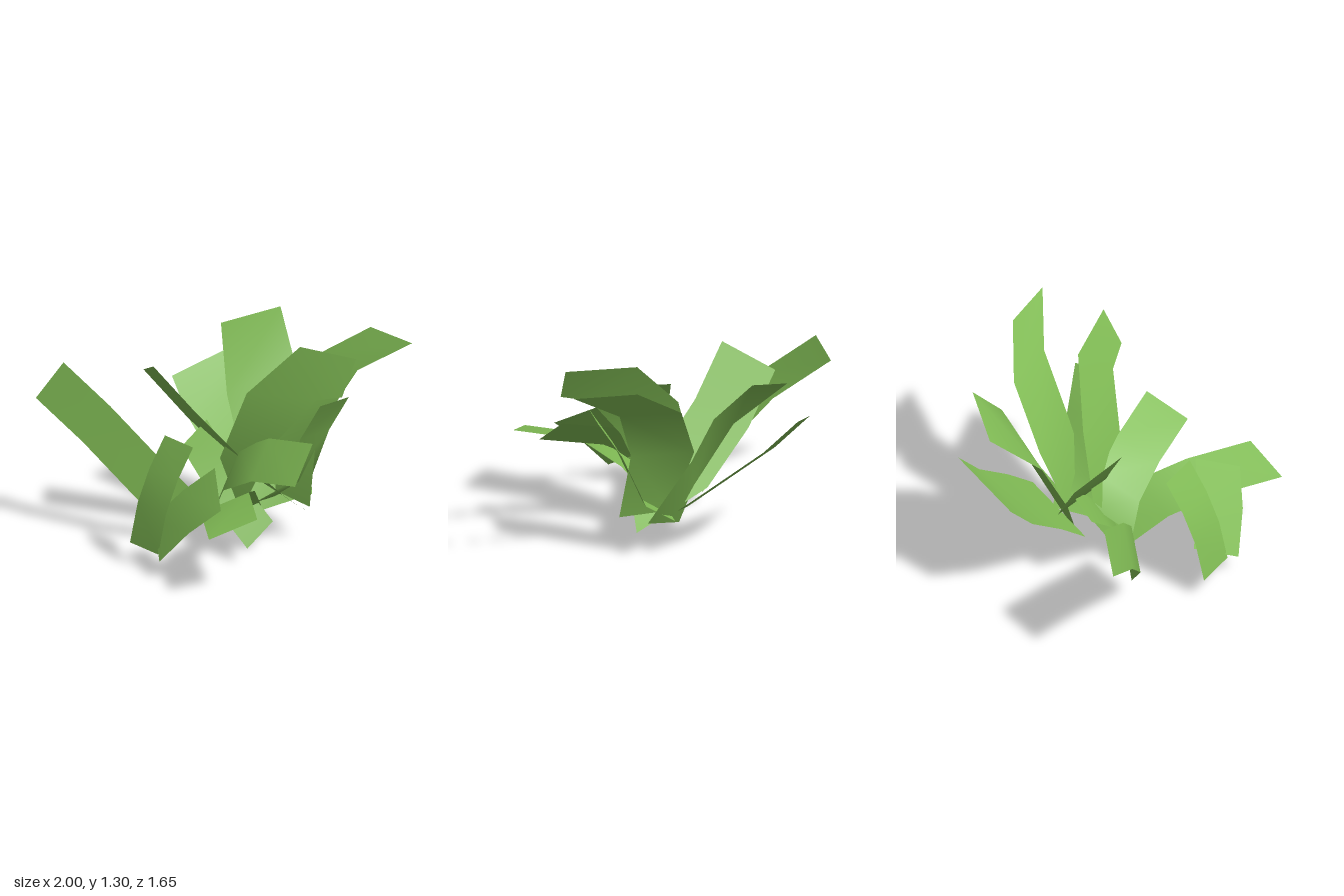
import * as THREE from 'three';

const leafGreen = new THREE.MeshStandardMaterial({ color: 0x81bc55, side: THREE.DoubleSide });
leafGreen.name = 'leaf green';

// Ribbon between two edges, each a short list of points from base to tip
function ribbon(name, edgeA, edgeB) {
  const pos = [], index = [];
  edgeA.forEach((a, i) => {
    pos.push(...a, ...edgeB[i]);
    if (i > 0) {
      const k = 2 * i - 2;
      index.push(k, k + 1, k + 3, k, k + 3, k + 2);
    }
  });
  const geo = new THREE.BufferGeometry();
  geo.setAttribute('position', new THREE.Float32BufferAttribute(pos, 3));
  geo.setIndex(index);
  geo.computeVertexNormals();
  const mesh = new THREE.Mesh(geo, leafGreen);
  mesh.name = name;
  return mesh;
}

// Leaf of constant width: one edge swept along a fixed width vector
function leaf(name, width, edge) {
  return ribbon(name, edge, edge.map(p => p.map((v, i) => v + width[i])));
}

export function createModel() {
  const plant = new THREE.Group();
  plant.name = 'plant';

  plant.add(
    // Leaves on the front side
    leaf('frontRightLeaf', [-0.11, -0.235, 0.13],
      [[-0.05, 0.33, 0.23], [-0.20, 0.54, 0.38], [-0.52, 0.81, 0.51], [-0.89, 1.01, 0.59]]),
    leaf('frontHangingLeaf', [0.285, 0, 0],
      [[0.02, 0.77, 0.50], [0.02, 0.58, 0.62], [0.02, 0.38, 0.71], [0.02, 0.13, 0.77]]),
    leaf('frontLeftShortLeaf', [0.27, -0.17, 0.16],
      [[0.10, 0.28, 0.65], [0.29, 0.50, 0.57], [0.46, 0.67, 0.45]]),
    leaf('frontLeftLowLeaf', [-0.11, -0.10, 0.29],
      [[0.16, 0.21, -0.14], [0.38, 0.42, 0.08], [0.61, 0.52, 0.30], [0.995, 0.50, 0.53]]),

    // Leaves to the sides
    leaf('leftLeaf', [0.115, -0.20, 0.225],
      [[0.00, 0.42, -0.02], [0.10, 0.60, -0.03], [0.365, 0.73, -0.045], [0.765, 0.80, -0.075]]),
    leaf('leftNarrowLeaf', [-0.03, 0, -0.245],
      [[0.13, 0.23, -0.11], [0.32, 0.37, -0.18], [0.47, 0.72, -0.205], [0.625, 0.97, -0.24]]),
    leaf('rightLowLeaf', [0.13, 0.17, -0.455],
      [[-0.02, 0.19, -0.05], [-0.23, 0.36, -0.10], [-0.55, 0.59, -0.12], [-0.76, 0.80, -0.15]]),
    leaf('smallCentreLeaf', [-0.03, -0.15, 0.175],
      [[0.29, 0.15, -0.13], [0.17, 0.32, -0.05], [-0.05, 0.53, -0.03], [-0.25, 0.685, -0.03]]),

    // Tall leaf at the back left
    ribbon('backLeftLeaf',
      [[0.12, 0.27, -0.28], [-0.015, 0.70, -0.38], [0.095, 1.08, -0.63], [0.39, 1.30, -0.81]],
      [[0.44, 0.25, -0.30], [0.38, 0.70, -0.40], [0.48, 1.08, -0.64], [0.785, 1.30, -0.83]]),

    // Leaves that twist or widen in the middle
    ribbon('innerRightLeaf',
      [[0.35, 0.33, -0.16], [0.18, 0.50, -0.03], [-0.09, 0.81, 0.17], [-0.28, 1.105, 0.36]],
      [[0.34, 0.17, -0.37], [-0.12, 0.37, -0.19], [-0.40, 0.67, 0.01], [-0.59, 0.965, 0.20]]),
    ribbon('backRightLeaf',
      [[0.05, 0.13, -0.15], [-0.04, 0.38, -0.165], [-0.28, 0.80, -0.21], [-0.59, 1.14, -0.40]],
      [[0.28, 0.26, -0.44], [0.03, 0.74, -0.61], [-0.11, 1.01, -0.595], [-0.34, 1.26, -0.67]]),
    ribbon('tallLeftLeaf',
      [[-0.05, 0.50, 0.02], [0.05, 0.92, -0.11], [0.33, 1.26, -0.31], [0.785, 1.29, -0.395]],
      [[0.20, 0.22, 0.05], [0.40, 0.70, -0.05], [0.61, 1.01, -0.225], [0.80, 1.07, -0.275]])
  );
  return plant;
}
